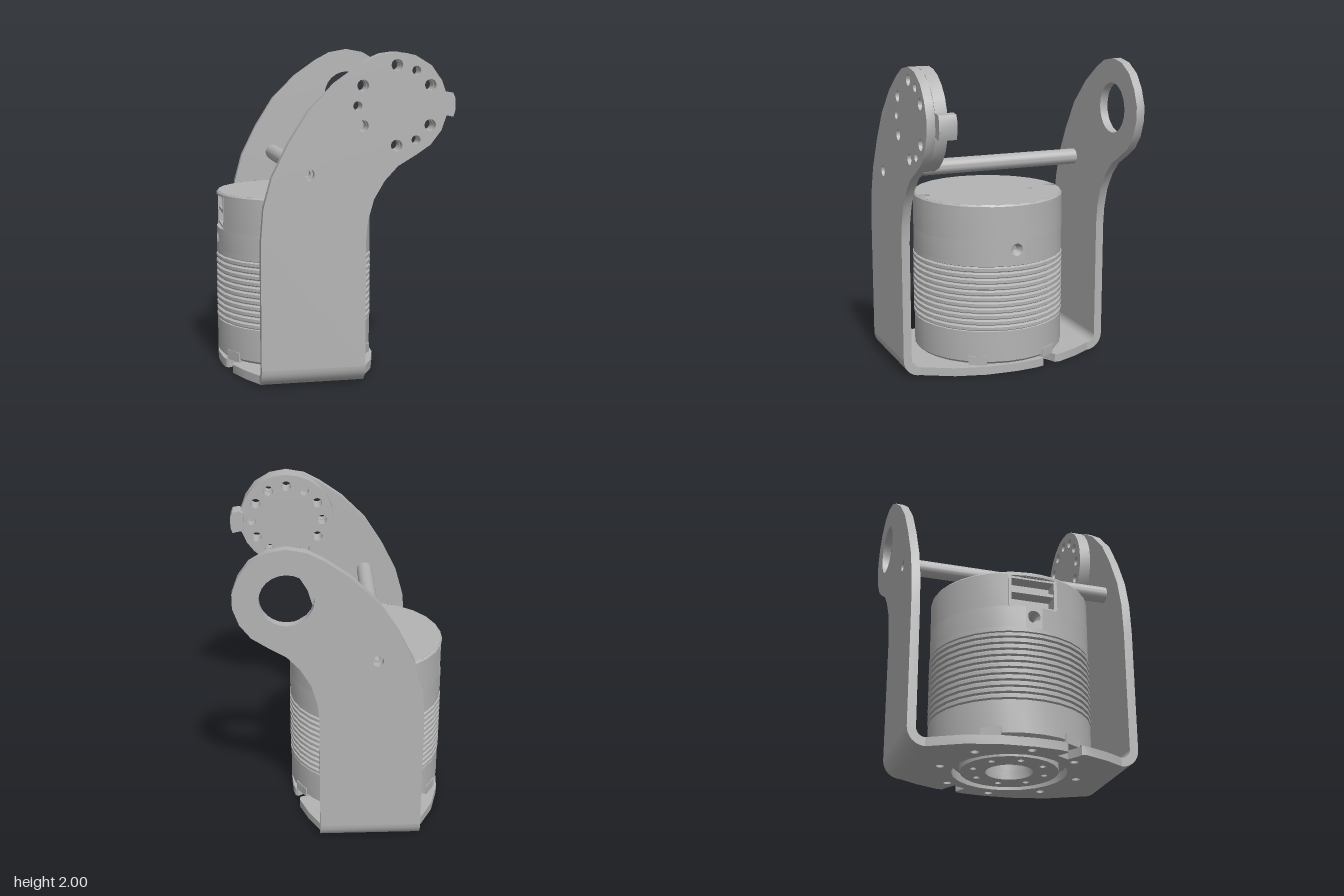
import * as THREE from 'three';
import { toCreasedNormals } from 'three/addons/utils/BufferGeometryUtils.js';

const CX = -0.19;          // axis of the round housing
const T = 0.054;           // sheet thickness of the bracket
const SEG = Math.PI / 15;  // one of 30 facets round the housing

export function createModel() {
  const model = new THREE.Group();
  const grey = new THREE.MeshStandardMaterial({ color: 0xb4b4b4, side: THREE.DoubleSide });
  grey.name = 'metal grey';

  const add = (name, geo, x = 0, y = 0, z = 0, parent = model) => {
    const mesh = new THREE.Mesh(geo, grey);
    mesh.name = name;
    mesh.position.set(x, y, z);
    parent.add(mesh);
    return mesh;
  };
  const vecs = (list) => list.map(([x, y]) => new THREE.Vector2(x, y));
  const circle = (x, y, r) => new THREE.Path().absarc(x, y, r, 0, Math.PI * 2, true);
  const ring = (n, cx, cy, r, hole, start = 0) => Array.from({ length: n }, (_, i) => {
    const a = start + (i * Math.PI * 2) / n;
    return circle(cx + r * Math.cos(a), cy + r * Math.sin(a), hole);
  });
  const extrude = (shape, depth, holes = []) => {
    shape.holes.push(...holes);
    const geo = new THREE.ExtrudeGeometry(shape, { depth, bevelEnabled: false, curveSegments: 12 });
    return toCreasedNormals(geo, 0.6);
  };
  // Horizontal plate: shape y becomes z, top face at y = 0
  const plate = (shape, depth, holes) => extrude(shape, depth, holes).rotateX(Math.PI / 2);
  const disc = (x, y, r) => new THREE.Shape().absarc(x, y, r, 0, Math.PI * 2, false);
  const lathe = (pts, from = 0, count = 30) =>
    toCreasedNormals(new THREE.LatheGeometry(vecs(pts), count, from * SEG, count * SEG), 0.5);

  // Curved side arms of the bracket
  const HX = 0.31, HY = 1.685;
  const outline = [[-0.507, 0.11], [-0.507, 0.88], [-0.49, 1.09], [-0.44, 1.27], [-0.34, 1.47], [-0.22, 1.66],
    [-0.06, 1.82], [0.09, 1.925], [0.19, 1.978], [0.31, 2], [0.42, 1.98], [0.52, 1.92], [0.585, 1.83],
    [0.622, 1.73], [0.622, 1.64], [0.585, 1.535], [0.52, 1.45], [0.43, 1.39], [0.32, 1.325], [0.24, 1.24],
    [0.175, 1.13], [0.138, 1], [0.127, 0.88], [0.127, 0.11]];
  const arm = () => new THREE.Shape(vecs(outline));
  const rodHole = () => circle(-0.22, 1.285, 0.035);
  add('frontArm', extrude(arm(), T, [rodHole(),
    ...ring(6, HX, HY, 0.237, 0.035, Math.PI / 6),
    ...ring(3, HX, HY, 0.237, 0.027, Math.PI / 3)]), 0, 0, 0.71 - T);
  add('rearArm', extrude(arm(), T, [rodHole(), circle(HX, HY, 0.16)]), 0, 0, -0.71);

  // Rounded bends between the arms and the base
  for (const s of [1, -1]) {
    const pts = [];
    for (const [r, dir] of [[0.11, 1], [0.11 - T, -1]]) {
      for (let i = 0; i <= 8; i++) {
        const a = ((dir > 0 ? i : 8 - i) / 8) * Math.PI / 2;
        pts.push([s * (0.6 + r * Math.sin(a)), 0.11 - r * Math.cos(a)]);
      }
    }
    add(s > 0 ? 'frontBend' : 'rearBend',
      extrude(new THREE.Shape(vecs(pts)), 0.634).rotateY(-Math.PI / 2), 0.127);
  }

  // Base plate: one edge with its slot, repeated by a half turn about the axis
  const edge = [[0.127, -0.6], [0.195, -0.48], [0.255, -0.33], [0.25, -0.3], [0.22, -0.289], [0.151, -0.249],
    [0.196, -0.171], [0.266, -0.211], [0.282, -0.2], [0.295, -0.15], [0.305, 0], [0.29, 0.2], [0.235, 0.4],
    [0.127, 0.6]];
  const base = [...edge, ...edge.map(([x, z]) => [2 * CX - x, -z])];
  add('basePlate', plate(new THREE.Shape(vecs(base)), T,
    [circle(CX, 0, 0.35), ...ring(8, CX, 0, 0.43, 0.025)]), 0, T);

  // Mounting disc and stop tab on the front arm
  add('mountDisc', extrude(disc(HX, HY, 0.315), 0.075, ring(12, HX, HY, 0.237, 0.033)), 0, 0, 0.581);
  add('stopTab', extrude(new THREE.Shape(vecs([[0.6, 1.62], [0.63, 1.62], [0.675, 1.61], [0.687, 1.65],
    [0.687, 1.72], [0.672, 1.755], [0.63, 1.762], [0.6, 1.75]])), 0.11, []), 0, 0, 0.547);

  // Cross rod with a blind hole in each end
  add('crossRod', lathe([[0, -0.6], [0.022, -0.6], [0.022, -0.656], [0.052, -0.656],
    [0.052, 0.656], [0.022, 0.656], [0.022, 0.6], [0, 0.6]]).rotateX(Math.PI / 2), -0.22, 1.285);

  // Housing
  const body = new THREE.Group();
  body.name = 'housing';
  body.position.x = CX;
  model.add(body);
  const part = (name, geo, x = 0, y = 0, z = 0) => add(name, geo, x, y, z, body);

  // Lower wall with cooling ribs
  const R = 0.497, IN = 0.46;
  const wall = [[0.145, 0.062], [0.482, 0.062], [R, 0.078], [R, 0.28]];
  for (let i = 0; i < 11; i++) {
    const y = 0.283 + i * 0.039;
    wall.push([0.487, y], [0.501, y + 0.008], [0.501, y + 0.027], [0.487, y + 0.035]);
  }
  wall.push([R, 0.713], [R, 0.74], [IN, 0.74], [IN, 0.1], [0.145, 0.1], [0.145, 0.062]);
  part('ribbedWall', lathe(wall));

  // Middle wall with a screw facet on each side
  const band = (y0, y1) => [[R, y0], [R, y1], [IN, y1], [IN, y0], [R, y0]];
  part('middleWallFront', lathe(band(0.74, 0.88), 23, 14));
  part('middleWallRear', lathe(band(0.74, 0.88), 8, 14));
  const half = R * Math.sin(SEG / 2), flat = R * Math.cos(SEG / 2);
  for (const s of [1, -1]) {
    const facet = new THREE.Shape(vecs([[-half, 0.74], [half, 0.74], [half, 0.88], [-half, 0.88]]));
    part('screwFacet', extrude(facet, 0.03, [circle(0, 0.815, 0.04)])
      .translate(0, 0, -0.03).rotateY(s * Math.PI / 2), s * flat);
    part('screwSocket', lathe([[0.018, -0.06], [0.022, -0.03], [0.04, 0]])
      .rotateZ(-s * Math.PI / 2), s * flat, 0.815);
  }

  // Upper wall, open at the connector window
  part('upperWall', lathe(band(0.88, 1.09), 24, 27));
  for (const y of [0.885, 0.985, 1.08]) part('windowShelf', new THREE.BoxGeometry(0.11, 0.02, 0.29), -0.415, y);
  for (const z of [-0.145, 0.145]) part('windowSide', new THREE.BoxGeometry(0.11, 0.21, 0.02), -0.42, 0.985, z);
  part('windowBack', new THREE.BoxGeometry(0.02, 0.21, 0.29), -0.37, 0.985);

  // Lid with screw holes
  part('lidRim', lathe([[IN, 1.08], [R, 1.085], [R, 1.1], [0.488, 1.111]]));
  part('lid', plate(disc(0, 0, 0.489), 0.02,
    [circle(0.015, -0.45, 0.034), circle(0.015, 0.45, 0.034), circle(0.07, -0.275, 0.018)]), 0, 1.111);
  part('lidFloor', new THREE.CylinderGeometry(0.487, 0.487, 0.006, 30), 0, 1.086);

  // Turning hub under the housing
  part('hub', plate(disc(0, 0, 0.3), 0.058, [circle(0, 0, 0.145), ...ring(8, 0, 0, 0.225, 0.02)]), 0, 0.062);

  // Clips round the foot of the housing
  for (const deg of [30, 150, 210, 330]) {
    const a = THREE.MathUtils.degToRad(deg);
    const clip = part('footClip', new THREE.BoxGeometry(0.05, 0.06, 0.12),
      0.475 * Math.cos(a), 0.085, -0.475 * Math.sin(a));
    clip.rotation.y = a;
  }
  return model;
}
